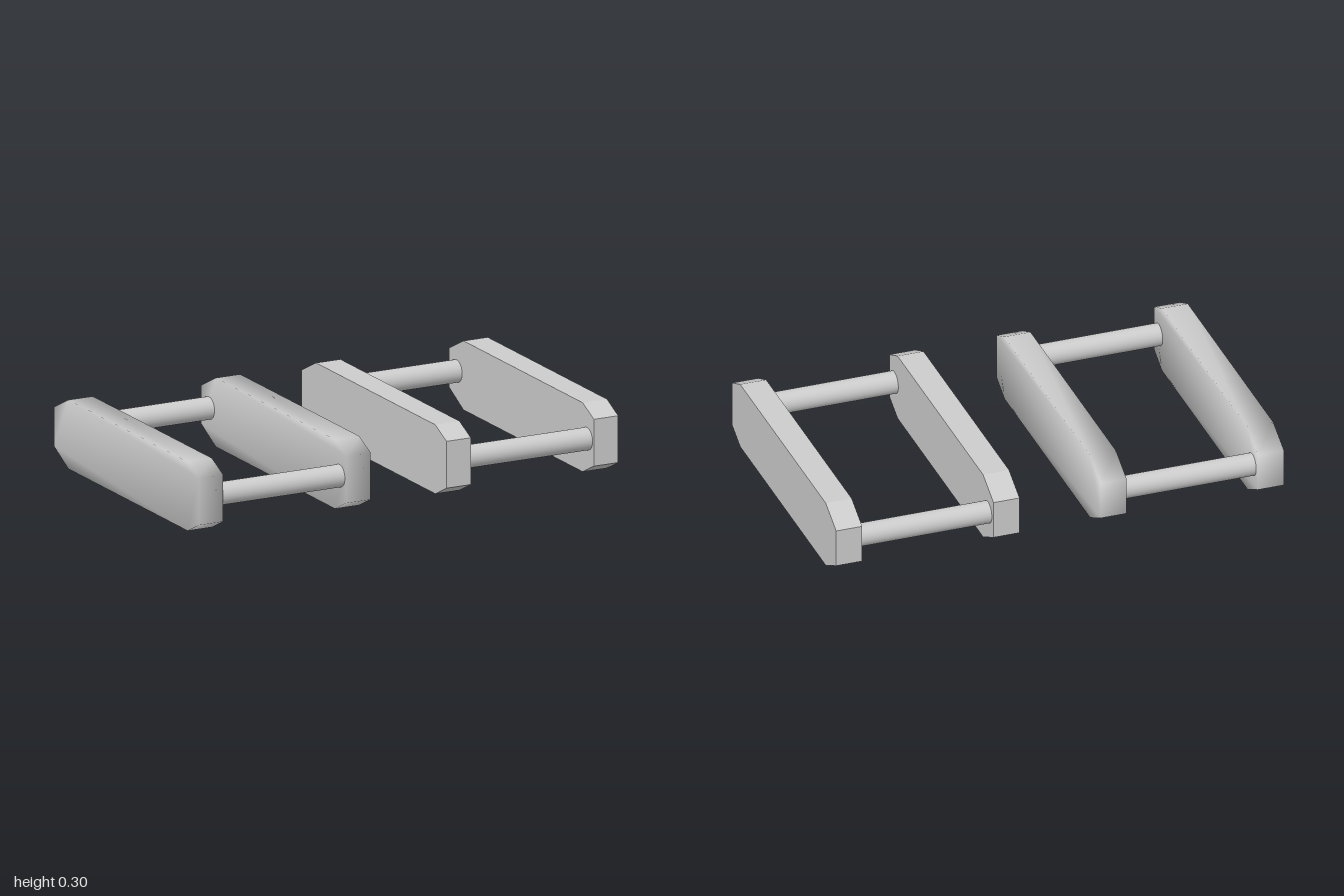
import * as THREE from 'three';
import { mergeVertices } from 'three/addons/utils/BufferGeometryUtils.js';

const WIDTH = 0.116;
const INNER = 0.239, OUTER = 0.942; // bar centres, measured from the middle

// Side profile of a bar as (z, y), an octagon with chamfered ends
const PROFILE = [
  [0.545, 0], [0.645, 0.05], [0.645, 0.255], [0.545, 0.302],
  [-0.515, 0.302], [-0.645, 0.237], [-0.645, 0.068], [-0.515, 0],
];

function barGeometry(smooth) {
  const shape = new THREE.Shape(PROFILE.map(([z, y]) => new THREE.Vector2(z, y)));
  let geo = new THREE.ExtrudeGeometry(shape, { depth: WIDTH, bevelEnabled: false });
  geo.rotateY(-Math.PI / 2).translate(WIDTH / 2, 0, 0);
  if (smooth) {
    // Shared corners give softly shaded bars
    geo.deleteAttribute('normal');
    geo.deleteAttribute('uv');
    geo = mergeVertices(geo);
    geo.computeVertexNormals();
  }
  return geo;
}

// One frame: two side bars joined by a front and a back rod
function makeFrame(name, side, smooth, material) {
  const frame = new THREE.Group();
  frame.name = name;
  const barGeo = barGeometry(smooth);
  for (const [label, x] of [['innerBar', INNER], ['outerBar', OUTER]]) {
    const bar = new THREE.Mesh(barGeo, material);
    bar.name = label;
    bar.position.x = side * x;
    frame.add(bar);
  }
  const rodGeo = new THREE.CylinderGeometry(0.049, 0.049, OUTER - INNER, 32);
  rodGeo.rotateZ(Math.PI / 2);
  for (const [label, z] of [['frontRod', 0.584], ['backRod', -0.575]]) {
    const rod = new THREE.Mesh(rodGeo, material);
    rod.name = label;
    rod.position.set(side * (INNER + OUTER) / 2, 0.155, z);
    frame.add(rod);
  }
  return frame;
}

export function createModel() {
  const model = new THREE.Group();
  model.name = 'barFrames';
  const material = new THREE.MeshStandardMaterial({ color: 0xcccccc });
  model.add(makeFrame('leftFrame', 1, false, material));
  model.add(makeFrame('rightFrame', -1, true, material));
  return model;
}
